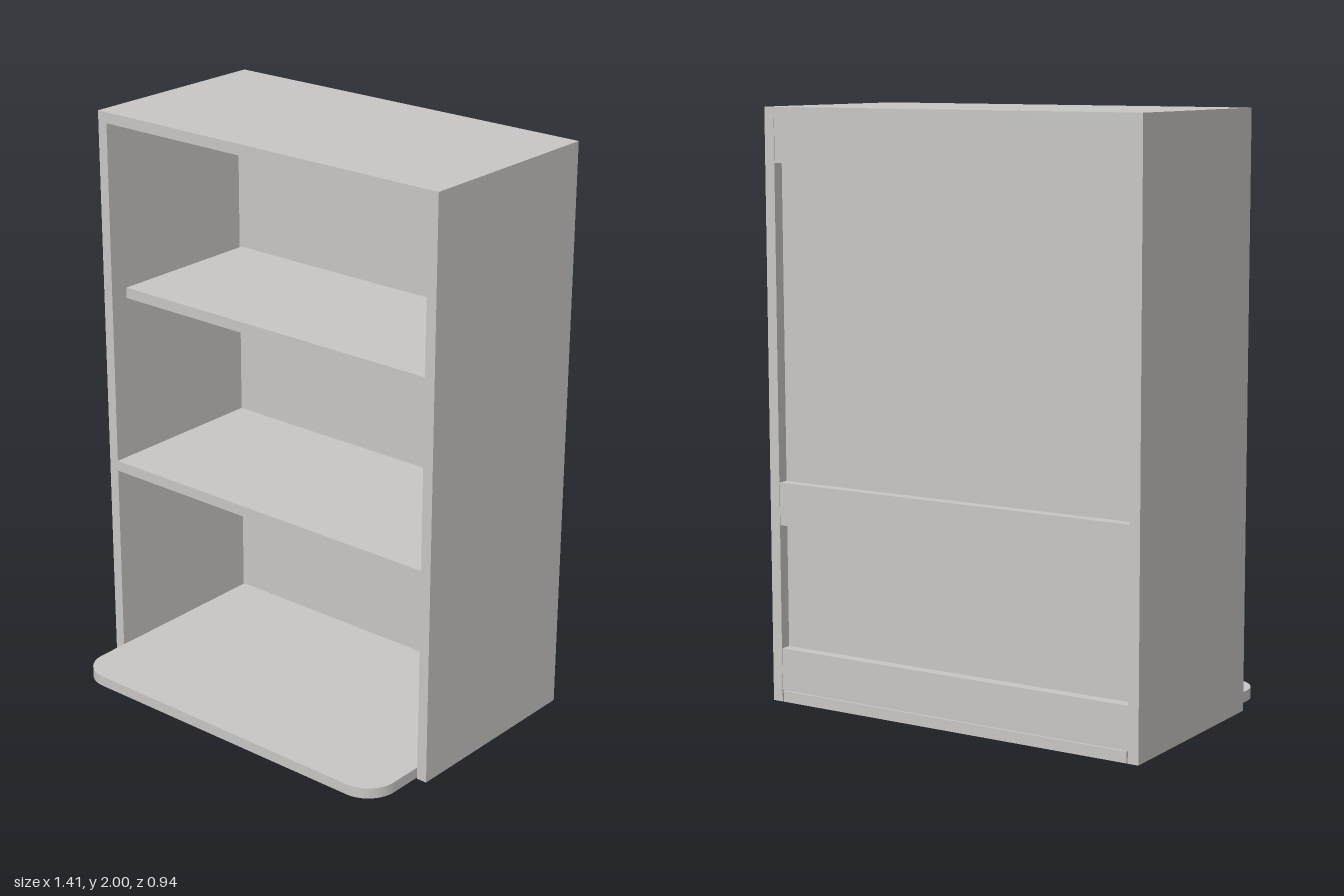
import * as THREE from 'three';

export function createModel() {
  const model = new THREE.Group();
  model.name = 'bookcase';
  const grey = new THREE.MeshStandardMaterial({ color: 0xc8c7c4 });
  grey.name = 'light grey';

  const T = 0.0375;                       // board thickness
  const W = 0.707, IN = W - T;            // outer and inner half width
  const BACK = -0.472, FRONT = 0.248;     // carcass depth
  const PANEL_BACK = BACK + T + 0.002, PANEL_FRONT = PANEL_BACK + T;

  // Board given by its min and max on each axis
  function board(name, x0, x1, y0, y1, z0, z1) {
    const mesh = new THREE.Mesh(new THREE.BoxGeometry(x1 - x0, y1 - y0, z1 - z0), grey);
    mesh.position.set((x0 + x1) / 2, (y0 + y1) / 2, (z0 + z1) / 2);
    mesh.name = name;
    model.add(mesh);
  }

  // Carcass
  board('leftSide', IN, W, 0, 2, BACK, FRONT);
  board('rightSide', -W, -IN, 0, 2, BACK, FRONT);
  board('topBoard', -IN, IN, 2 - T, 2, BACK, FRONT);

  // Shelves: one fixed, one loose and set back from the front
  board('fixedShelf', -IN, IN, 0.716, 0.7535, PANEL_FRONT, FRONT);
  board('looseShelf', -0.661, 0.661, 1.34, 1.3775, PANEL_FRONT, FRONT - 0.06);

  // Back panel with three rails behind it
  board('backPanel', -IN, IN, T, 2 - T, PANEL_BACK, PANEL_FRONT);
  for (const [name, top] of [['topRail', 2 - T], ['middleRail', 0.7535], ['bottomRail', 0.1845]]) {
    board(name, -IN, IN, top - 0.145, top, BACK + 0.002, PANEL_BACK);
  }

  // Base board with rounded front corners reaching past the carcass
  const w = 0.665, f = 0.472, r = 0.11;
  const outline = new THREE.Shape();      // shape y becomes -z
  outline.moveTo(-w, -BACK);
  outline.lineTo(-w, -f + r);
  outline.absarc(-w + r, -f + r, r, Math.PI, Math.PI * 1.5, false);
  outline.absarc(w - r, -f + r, r, Math.PI * 1.5, Math.PI * 2, false);
  outline.lineTo(w, -BACK);
  outline.closePath();
  const baseGeometry = new THREE.ExtrudeGeometry(outline, { depth: T, bevelEnabled: false, curveSegments: 16 });
  baseGeometry.rotateX(-Math.PI / 2);
  const base = new THREE.Mesh(baseGeometry, grey);
  base.name = 'baseBoard';
  model.add(base);

  return model;
}
